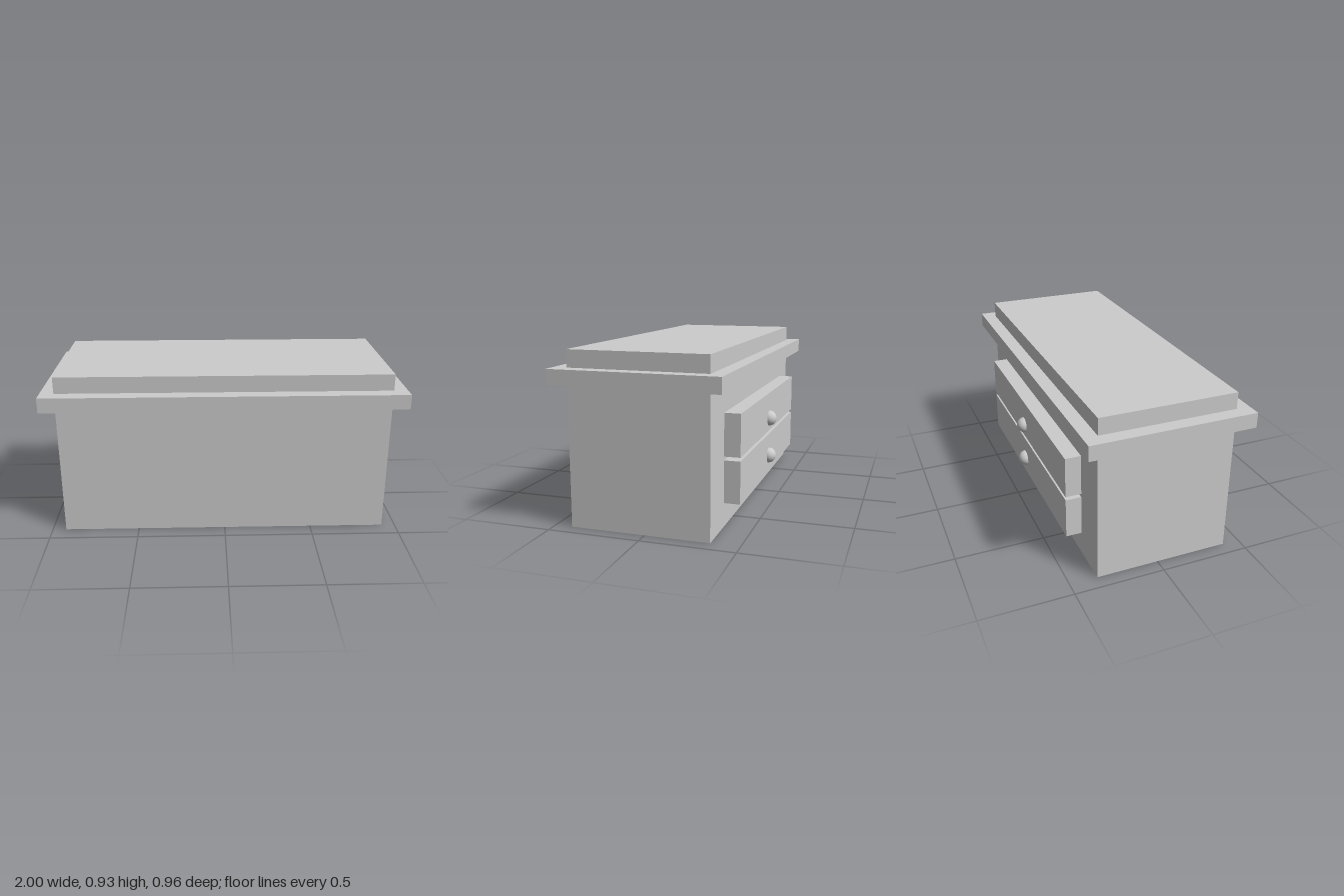
import * as THREE from 'three';

const material = new THREE.MeshStandardMaterial({ color: 0xcccccc });

// Box given by its [min, max] extent on each axis
function box(name, [x0, x1], [y0, y1], [z0, z1]) {
  const mesh = new THREE.Mesh(new THREE.BoxGeometry(x1 - x0, y1 - y0, z1 - z0), material);
  mesh.position.set((x0 + x1) / 2, (y0 + y1) / 2, (z0 + z1) / 2);
  mesh.name = name;
  return mesh;
}

export function createModel() {
  const model = new THREE.Group();
  model.name = 'drawerChest';

  // Cabinet body rising through a wider projecting rim
  model.add(box('cabinetBody', [-0.923, 0.923], [0, 0.927], [-0.347, 0.405]));
  model.add(box('topRim', [-1, 1], [0.752, 0.835], [-0.424, 0.48]));

  // Two stacked drawers on the back, each with a round knob
  const drawerFace = -0.434;
  ['lower', 'upper'].forEach((level, i) => {
    const bottom = 0.13 + i * 0.248;
    const drawer = new THREE.Group();
    drawer.name = level + 'Drawer';
    drawer.add(box('drawerFront', [-0.7, 0.685], [bottom, bottom + 0.228], [drawerFace, -0.34]));

    const knob = new THREE.Mesh(new THREE.SphereGeometry(0.045, 32, 20), material);
    knob.position.set(0.015, 0.228 + i * 0.226, drawerFace);
    knob.name = 'knob';
    drawer.add(knob);
    model.add(drawer);
  });

  return model;
}
